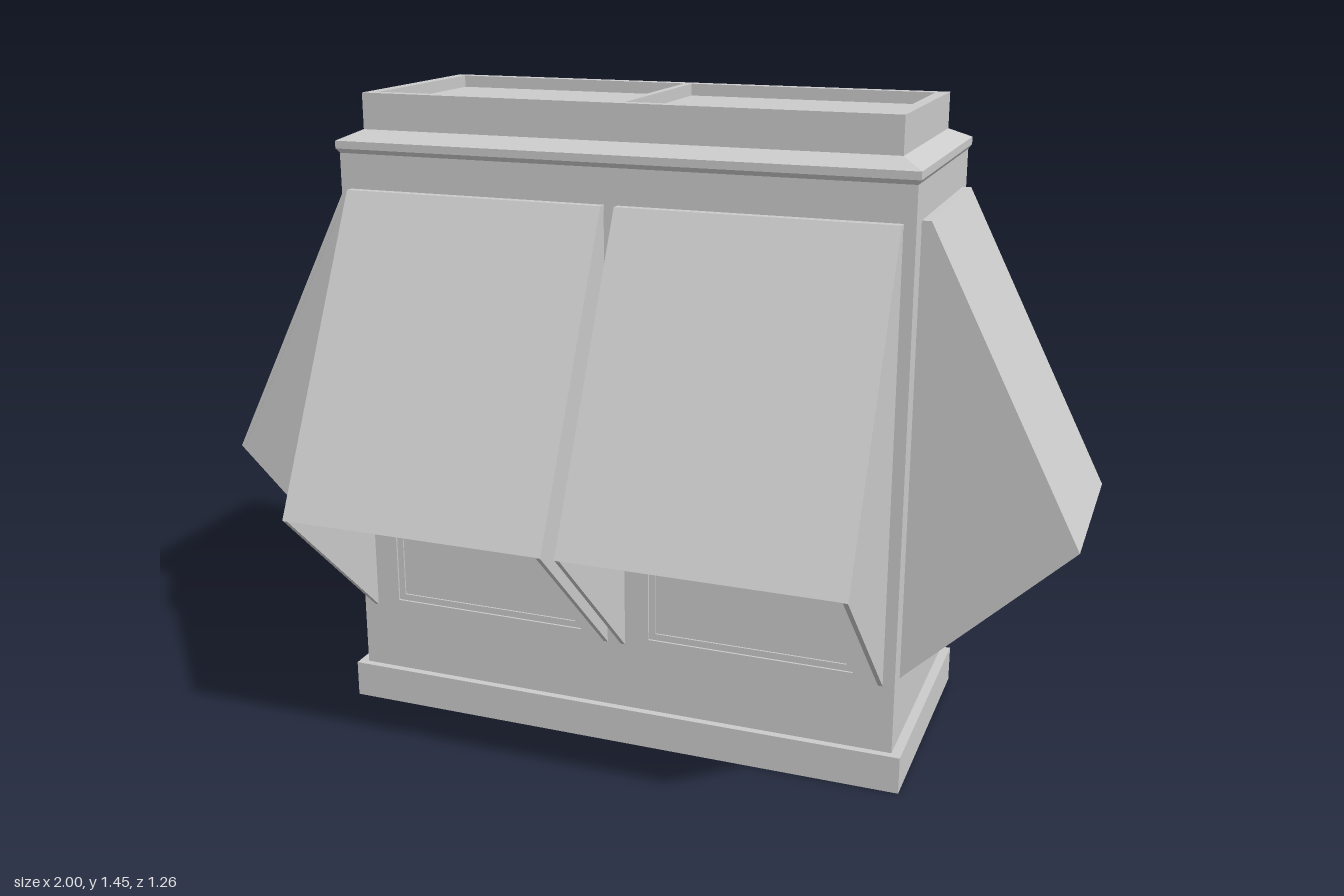
import * as THREE from 'three';

const material = new THREE.MeshStandardMaterial({ color: 0xcccccc, flatShading: true, side: THREE.DoubleSide });
const HALF_X = 0.645, HALF_Z = 0.275;      // outer faces of the walls
const WALL_BOTTOM = 0.04, WALL_TOP = 1.33, WALL = 0.02;
const WINDOW_BOTTOM = 0.26, WINDOW_TOP = 1.15;

function add(parent, name, geometry) {
  const mesh = new THREE.Mesh(geometry, material);
  mesh.name = name;
  parent.add(mesh);
  return mesh;
}

// Rectangular mouldings: each ring is [half width x, half depth z, y].
function rectLoft(rings) {
  const corners = [[1, 1], [1, -1], [-1, -1], [-1, 1]];
  const point = ([hx, hz, y], i) => [hx * corners[i % 4][0], y, hz * corners[i % 4][1]];
  const positions = [];
  for (let r = 0; r < rings.length - 1; r++) {
    for (let i = 0; i < 4; i++) {
      const a = point(rings[r], i), b = point(rings[r], i + 1);
      const c = point(rings[r + 1], i + 1), d = point(rings[r + 1], i);
      positions.push(...a, ...b, ...c, ...a, ...c, ...d);
    }
  }
  const geometry = new THREE.BufferGeometry();
  geometry.setAttribute('position', new THREE.Float32BufferAttribute(positions, 3));
  geometry.computeVertexNormals();
  return geometry;
}

function rectangle(x0, x1, y0, y1, PathType = THREE.Shape) {
  const path = new PathType();
  path.moveTo(x0, y0);
  path.lineTo(x1, y0);
  path.lineTo(x1, y1);
  path.lineTo(x0, y1);
  path.closePath();
  return path;
}

const extrude = (shape, depth) => new THREE.ExtrudeGeometry(shape, { depth, bevelEnabled: false });

// Extrudes an (outward, y) profile sideways, centred on x.
function sideways(points, x, width) {
  const shape = new THREE.Shape(points.map(([d, y]) => new THREE.Vector2(d, y)));
  return extrude(shape, width).rotateY(-Math.PI / 2).translate(x + width / 2, 0, 0);
}

// Hollow canopy: sloping cover held by two thin triangular cheeks, open below.
function makeAwning(x, width) {
  const awning = new THREE.Group();
  awning.name = 'awning';
  const cheek = 0.01;
  add(awning, 'awningCover', sideways(
    [[0, 1.24], [0.02, 1.24], [0.355, 0.58], [0.344, 0.58], [0.014, 1.23], [0, 1.23]], x, width));
  for (const side of [-1, 1]) {
    add(awning, 'awningCheek', sideways(
      [[0, 0.24], [0.354, 0.579], [0.019, 1.239], [0, 1.239]], x + side * (width / 2 - cheek / 2 - 0.001), cheek));
  }
  return awning;
}

// One wall with its windows and awnings, facing +z.
function makeFace(name, halfWidth, distance, angle, bays) {
  const face = new THREE.Group();
  face.name = name;
  const shape = rectangle(-halfWidth, halfWidth, WALL_BOTTOM, WALL_TOP);
  const content = new THREE.Group();
  content.position.z = distance;
  for (const { x, windowWidth, awningWidth } of bays) {
    const x0 = x - windowWidth / 2, x1 = x + windowWidth / 2;
    shape.holes.push(rectangle(x0, x1, WINDOW_BOTTOM, WINDOW_TOP, THREE.Path));
    // Stepped frame and a recessed pane fill the opening
    const frame = rectangle(x0, x1, WINDOW_BOTTOM, WINDOW_TOP);
    const t = 0.015;
    frame.holes.push(rectangle(x0 + t, x1 - t, WINDOW_BOTTOM + t, WINDOW_TOP - t, THREE.Path));
    add(content, 'windowFrame', extrude(frame, 0.012)).position.z = -0.017;
    add(content, 'windowPane', extrude(
      rectangle(x0 + t, x1 - t, WINDOW_BOTTOM + t, WINDOW_TOP - t), 0.004)).position.z = -0.013;
    content.add(makeAwning(x, awningWidth));
  }
  add(content, 'wall', extrude(shape, WALL)).position.z = -WALL;
  face.add(content);
  face.rotation.y = angle;
  return face;
}

export function createModel() {
  const model = new THREE.Group();
  model.name = 'shadedKiosk';

  // Walls on all four sides
  const longBays = [-0.3175, 0.3175].map((x) => ({ x, windowWidth: 0.47, awningWidth: 0.605 }));
  const shortBays = [{ x: 0, windowWidth: 0.375, awningWidth: 0.45 }];
  model.add(makeFace('frontFace', HALF_X, HALF_Z, 0, longBays));
  model.add(makeFace('backFace', HALF_X, HALF_Z, Math.PI, longBays));
  model.add(makeFace('leftFace', HALF_Z - WALL, HALF_X, Math.PI / 2, shortBays));
  model.add(makeFace('rightFace', HALF_Z - WALL, HALF_X, -Math.PI / 2, shortBays));

  // Plinth, open underneath
  add(model, 'plinth', rectLoft([
    [0.625, 0.255, 0.04], [0.655, 0.28, 0.04], [0.655, 0.28, 0],
    [0.667, 0.292, 0], [0.667, 0.292, 0.085], [0.645, 0.275, 0.085],
  ]));

  // Cornice, stepping in to the crown with its raised rim and sunken roof
  add(model, 'cornice', rectLoft([
    [0.645, 0.275, 1.318], [0.652, 0.281, 1.328], [0.652, 0.281, 1.345], [0.605, 0.235, 1.367],
  ]));
  add(model, 'crown', rectLoft([
    [0.605, 0.235, 1.367], [0.605, 0.235, 1.447], [0.578, 0.208, 1.447], [0.578, 0.208, 1.42],
  ]));
  add(model, 'roofPanel', new THREE.BoxGeometry(1.156, 0.01, 0.416)).position.y = 1.415;
  add(model, 'roofDivider', new THREE.BoxGeometry(0.018, 0.027, 0.416)).position.y = 1.4335;

  return model;
}
